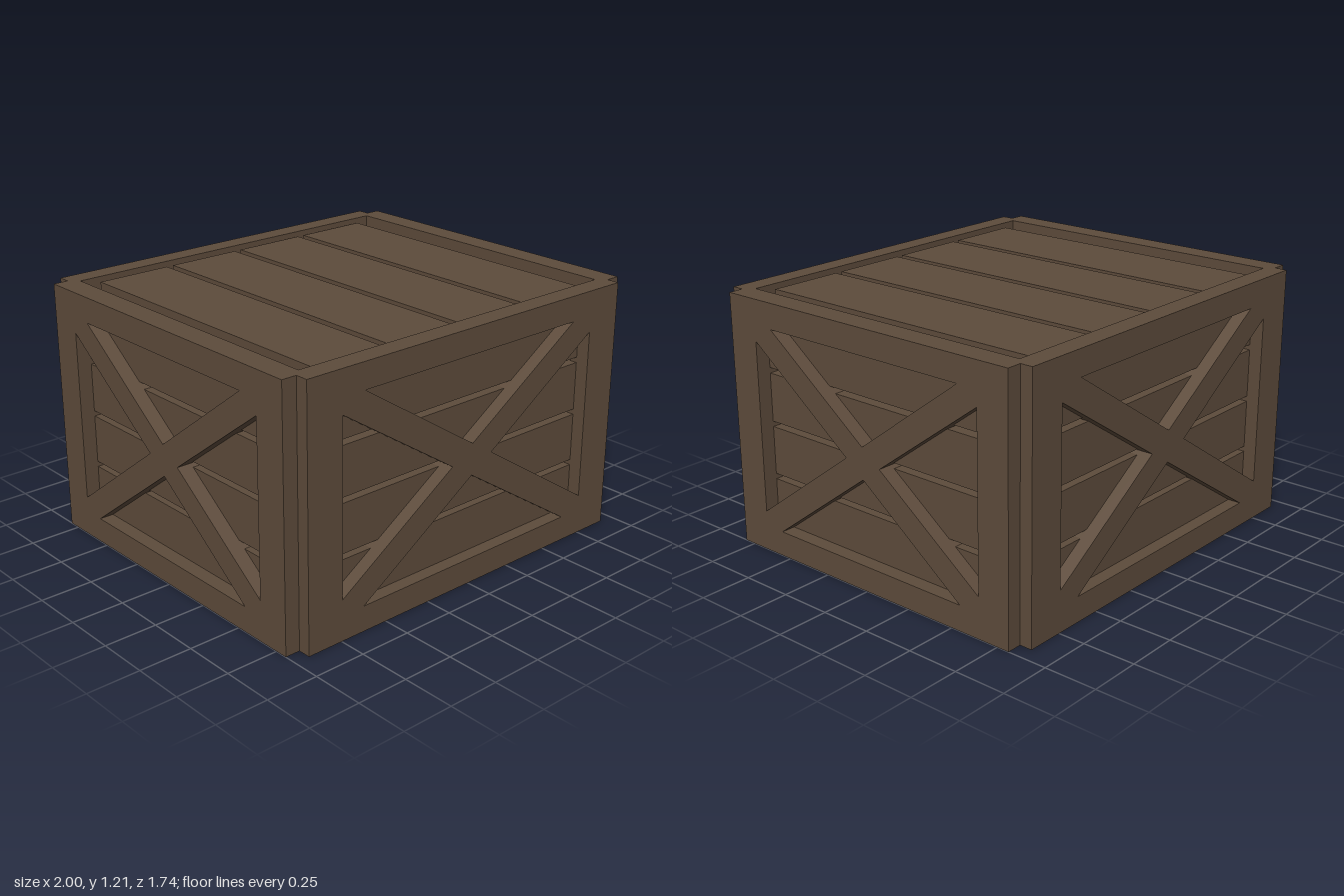
import * as THREE from 'three';

const H = 1.205;      // overall height
const MID = H / 2;

// Closed path from [x, y] pairs
const trace = (Type, pts) => new Type(pts.map(([x, y]) => new THREE.Vector2(x, y)));

// Frame panel with four triangular openings that leave an X brace
function frameGeometry(halfW, depth, winW, topW, apexW) {
  const shape = trace(THREE.Shape, [[-halfW, 0], [halfW, 0], [halfW, H], [-halfW, H]]);
  for (const s of [1, -1]) {
    shape.holes.push(trace(THREE.Path, [
      [-topW, MID + s * 0.482], [topW, MID + s * 0.482], [0, MID + s * 0.075]]));
    shape.holes.push(trace(THREE.Path, [
      [s * winW, MID - 0.408], [s * winW, MID + 0.408], [s * apexW, MID]]));
  }
  return new THREE.ExtrudeGeometry(shape, { depth, bevelEnabled: false });
}

export function createModel() {
  const crate = new THREE.Group();
  crate.name = 'crate';
  const wood = new THREE.MeshStandardMaterial({ color: 0x5d4b3b });
  wood.name = 'brown wood';

  const add = (parent, name, geometry, x = 0, y = 0, z = 0) => {
    const mesh = new THREE.Mesh(geometry, wood);
    mesh.name = name;
    mesh.position.set(x, y, z);
    parent.add(mesh);
  };

  // Inner box, slightly recessed from the rims at top and bottom
  add(crate, 'innerBox', new THREE.BoxGeometry(1.715, 1.08, 1.49), 0, MID, 0);

  // Lid planks
  for (let i = 0; i < 4; i++) {
    add(crate, 'lidPlank', new THREE.BoxGeometry(0.37, 0.06, 1.49), (i - 1.5) * 0.406, 1.157, 0);
  }

  // Four walls: braced frame in front of four horizontal planks
  const longFrame = frameGeometry(0.928, 0.1, 0.745, 0.627, 0.12);
  const shortFrame = frameGeometry(0.81, 0.115, 0.65, 0.547, 0.1);
  const walls = [
    { name: 'frontWall', angle: 0, frame: longFrame, inner: 0.77, core: 0.74, face: 0.806, width: 1.54 },
    { name: 'leftWall', angle: Math.PI / 2, frame: shortFrame, inner: 0.885, core: 0.85, face: 0.93, width: 1.34 },
  ];
  for (const w of walls) {
    for (const back of [0, 1]) {
      const wall = new THREE.Group();
      wall.name = back ? (w.angle ? 'rightWall' : 'backWall') : w.name;
      wall.rotation.y = w.angle + back * Math.PI;
      add(wall, 'bracedFrame', w.frame, 0, 0, w.inner);
      for (let i = 0; i < 4; i++) {
        add(wall, 'wallPlank', new THREE.BoxGeometry(w.width, 0.23, w.face - w.core),
          0, MID + (i - 1.5) * 0.256, (w.face + w.core) / 2);
      }
      crate.add(wall);
    }
  }
  return crate;
}
